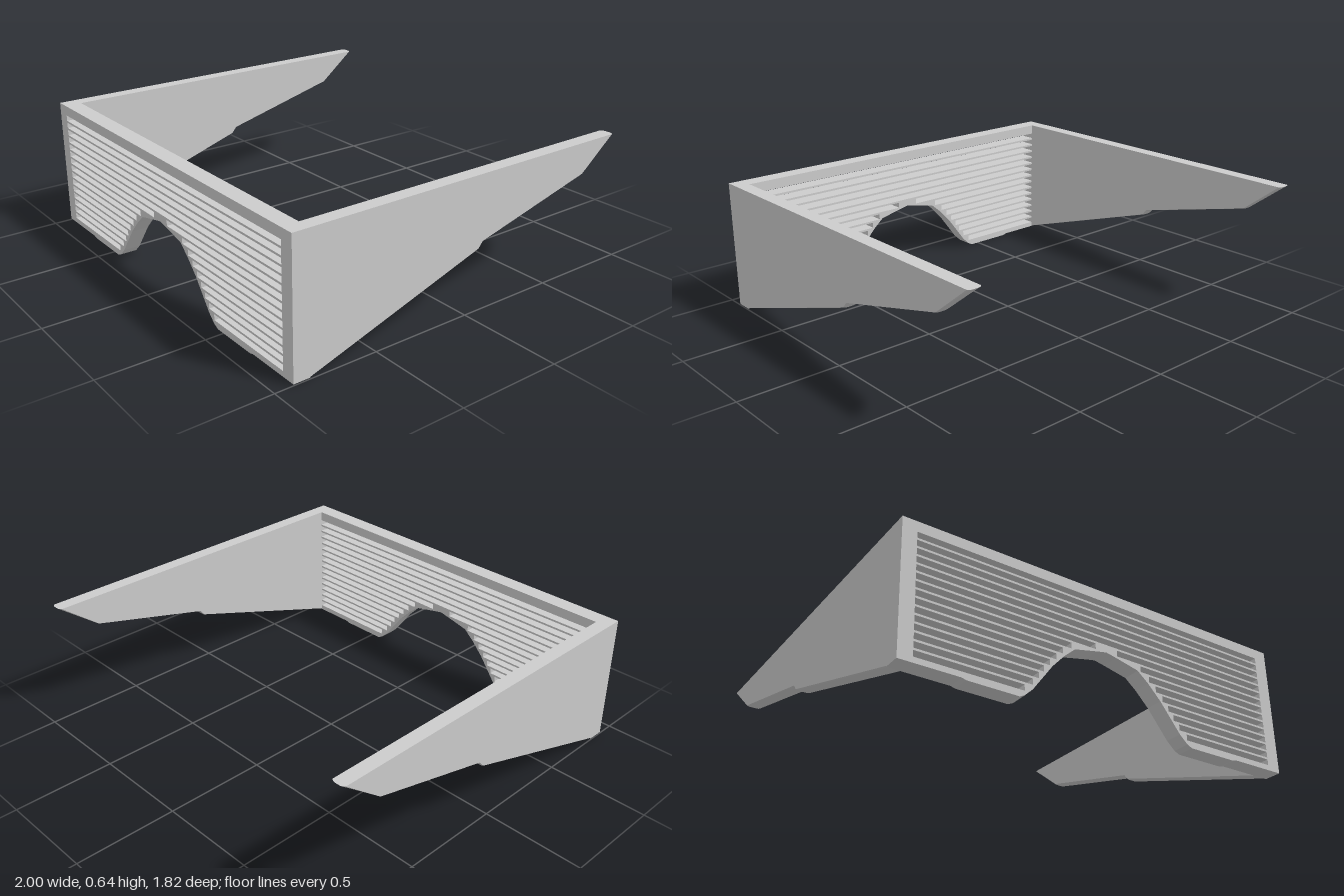
import * as THREE from 'three';

const TOP = 0.64, BACK = 0.83, FRONT = 0.912, INNER = 0.932;

function polygon(points, Type = THREE.Shape) {
  return new Type(points.map(([x, y]) => new THREE.Vector2(x, y)));
}

// Front frame: outline with nose cut-out, pierced by rows of horizontal slots
function frontGeometry() {
  const nose = [[0.7, 0], [0.455, 0], [0.43, 0.012], [0.39, 0.05], [0.29, 0.183], [0.225, 0.252], [0.17, 0.299], [0.05, 0.326]];
  const half = [[1, TOP], [1, 0.006], [0.72, 0.006], ...nose];
  const mirrored = half.map(([x, y]) => [-x, y]).reverse();
  const shape = polygon([...half, [0, 0.336], ...mirrored]);

  // inner ends of the slots beside the nose, from the bottom row up
  const ends = [0.43, 0.39, 0.36, 0.333, 0.303, 0.268, 0.233, 0.188, 0.058];
  const pitch = 0.0379, slot = 0.028;
  for (let row = 0; row < 15; row++) {
    const y0 = 0.032 + row * pitch, y1 = y0 + slot;
    const spans = row < ends.length
      ? [[-INNER, -ends[row]], [ends[row], INNER]]
      : [[-INNER, INNER]];
    // holes run counter-clockwise, against the clockwise outline
    for (const [a, b] of spans) {
      shape.holes.push(polygon([[a, y0], [b, y0], [b, y1], [a, y1]], THREE.Path));
    }
  }
  const geometry = new THREE.ExtrudeGeometry(shape, { depth: FRONT - BACK, bevelEnabled: false });
  return geometry.translate(0, 0, BACK);
}

// Temple arm: side profile extruded across x, lower edges and tip slightly rounded
function armGeometry() {
  const width = 1 - INNER;
  const profile = [[BACK, TOP], [BACK, 0.006], [-0.06, 0.295], [-0.085, 0.325], [-0.71, 0.485], [-FRONT, TOP]];
  const shape = polygon(profile.map(([z, y]) => [-z, y]));
  const geometry = new THREE.ExtrudeGeometry(shape, { depth: width, steps: 10, bevelEnabled: false });
  const p = geometry.attributes.position;
  for (let i = 0; i < p.count; i++) {
    const round = Math.abs(2 * p.getZ(i) / width - 1) ** 4;
    if (p.getY(i) < TOP - 0.01) p.setY(i, p.getY(i) + 0.004 * round);
    else if (p.getX(i) > 0) p.setX(i, p.getX(i) - 0.012 * round);
  }
  geometry.rotateY(Math.PI / 2).translate(-width / 2, 0, 0);
  geometry.computeVertexNormals();
  return geometry;
}

export function createModel() {
  const group = new THREE.Group();
  const material = new THREE.MeshStandardMaterial({ color: 0xcccccc, flatShading: true });

  const front = new THREE.Mesh(frontGeometry(), material);
  front.name = 'shutterFront';
  group.add(front);

  const arm = armGeometry();
  for (const [name, side] of [['leftArm', 1], ['rightArm', -1]]) {
    const mesh = new THREE.Mesh(arm, material);
    mesh.name = name;
    mesh.position.x = side * (1 + INNER) / 2;
    group.add(mesh);
  }
  return group;
}
